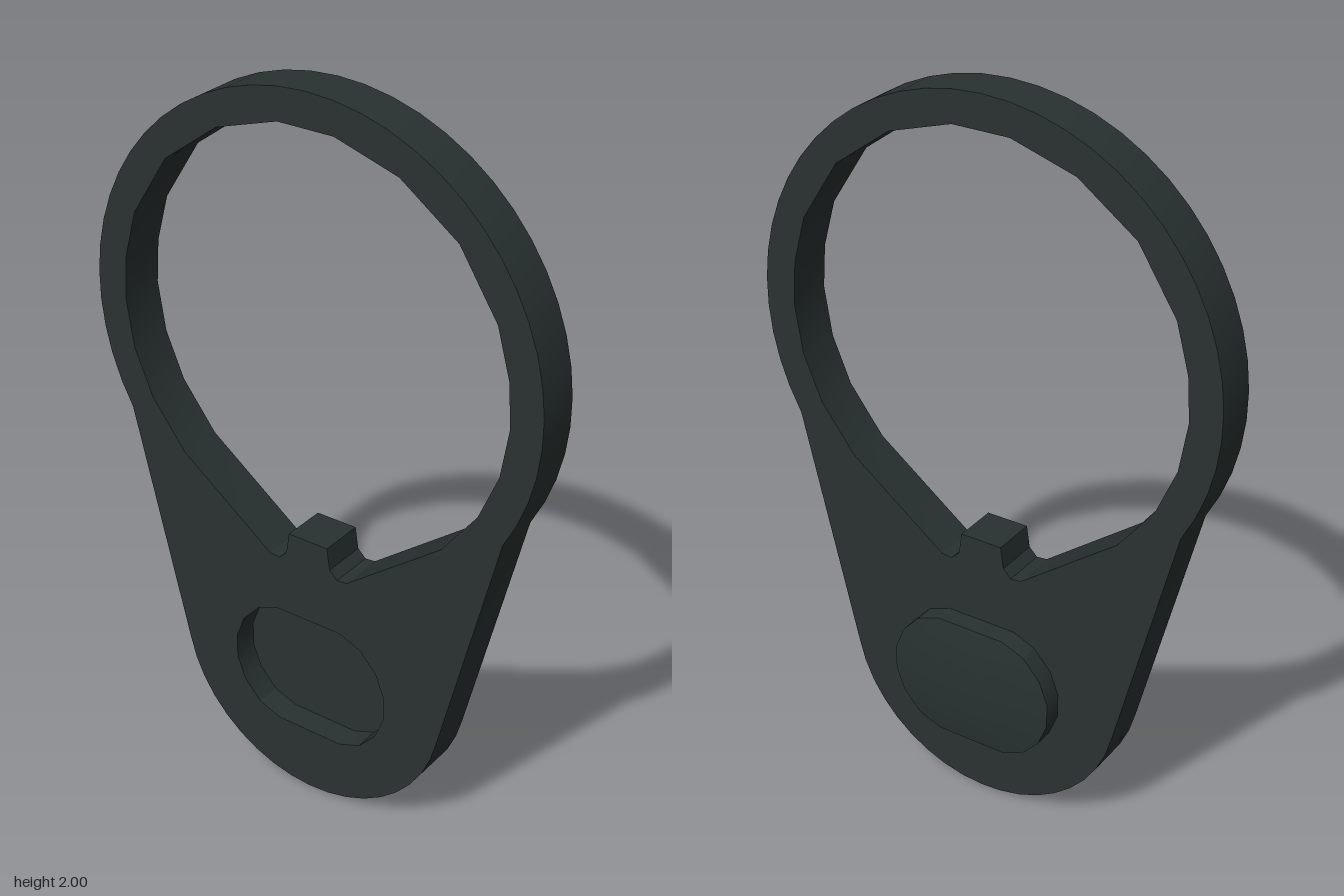
import * as THREE from 'three';
import { toCreasedNormals } from 'three/addons/utils/BufferGeometryUtils.js';

const v = (x, y) => new THREE.Vector2(x, y);

// closes a half outline (top to bottom) by mirroring it across the middle
const mirrored = (half) => [...half, ...half.filter((p) => Math.abs(p.x) > 1e-4).reverse().map((p) => v(-p.x, p.y))];

// holes run the opposite way round so that their walls face inward
const hole = (points) => new THREE.Path([...points].reverse());

function arc(cy, r, from, to, n) {
  return Array.from({ length: n + 1 }, (_, i) => {
    const a = from + ((to - from) * i) / n;
    return v(r * Math.cos(a), cy + r * Math.sin(a));
  });
}

// extrudes a side-view shape along x
function slab(shape, x0, x1) {
  const g = new THREE.ExtrudeGeometry(shape, { depth: x1 - x0, bevelEnabled: false });
  g.rotateY(Math.PI / 2).translate(x0, 0, 0);
  return toCreasedNormals(g, 0.45);
}

export function createModel() {
  const group = new THREE.Group();
  const metal = new THREE.MeshStandardMaterial({ color: 0x293231 });
  metal.name = 'dark metal';
  const add = (name, geometry) => {
    const mesh = new THREE.Mesh(geometry, metal);
    mesh.name = name;
    group.add(mesh);
  };

  // teardrop outline: large ring above, straight flanks, small round foot
  const outline = mirrored([
    ...arc(1.338, 0.662, Math.PI / 2, -0.53, 18),
    ...arc(0.413, 0.413, -0.2, -Math.PI / 2, 9),
  ]);

  // faceted ring opening with a small locating tab at the bottom
  const opening = mirrored([
    [0.08, 1.91], [0.26, 1.855], [0.422, 1.738], [0.53, 1.57], [0.566, 1.44], [0.575, 1.32],
    [0.553, 1.183], [0.499, 1.055], [0.399, 0.925], [0.122, 0.717], [0.092, 0.714],
    [0.069, 0.737], [0.06, 0.798],
  ].map(([x, y]) => v(x, y)));

  // faceted oval shared by the boss and the recess behind it
  const oval = mirrored([
    [0.1, 0.551], [0.165, 0.525], [0.215, 0.47], [0.24, 0.405],
    [0.24, 0.335], [0.215, 0.27], [0.165, 0.215], [0.1, 0.19],
  ].map(([x, y]) => v(x, y)));

  const plate = new THREE.Shape(outline);
  plate.holes.push(hole(opening), hole(oval));
  add('endPlate', slab(plate, -0.1, 0.026));

  // plug stands proud on one face and leaves a recess on the other
  add('ovalBoss', slab(new THREE.Shape(oval), -0.03, 0.08));

  // shallow dome over the boss, lofted from shrinking ovals
  const rings = [[1, 0.08], [0.75, 0.089], [0.45, 0.095], [0, 0.096]];
  const n = oval.length, pos = [], index = [];
  rings.forEach(([s, x]) => oval.forEach((p) => pos.push(x, 0.37 + (p.y - 0.37) * s, -p.x * s)));
  for (let r = 0; r < rings.length - 1; r++) {
    for (let i = 0; i < n; i++) {
      const a = r * n + i, b = r * n + ((i + 1) % n);
      index.push(a, a + n, b, b, a + n, b + n);
    }
  }
  const dome = new THREE.BufferGeometry();
  dome.setAttribute('position', new THREE.Float32BufferAttribute(pos, 3));
  dome.setIndex(index);
  add('bossDome', toCreasedNormals(dome, 0.5));

  return group;
}
